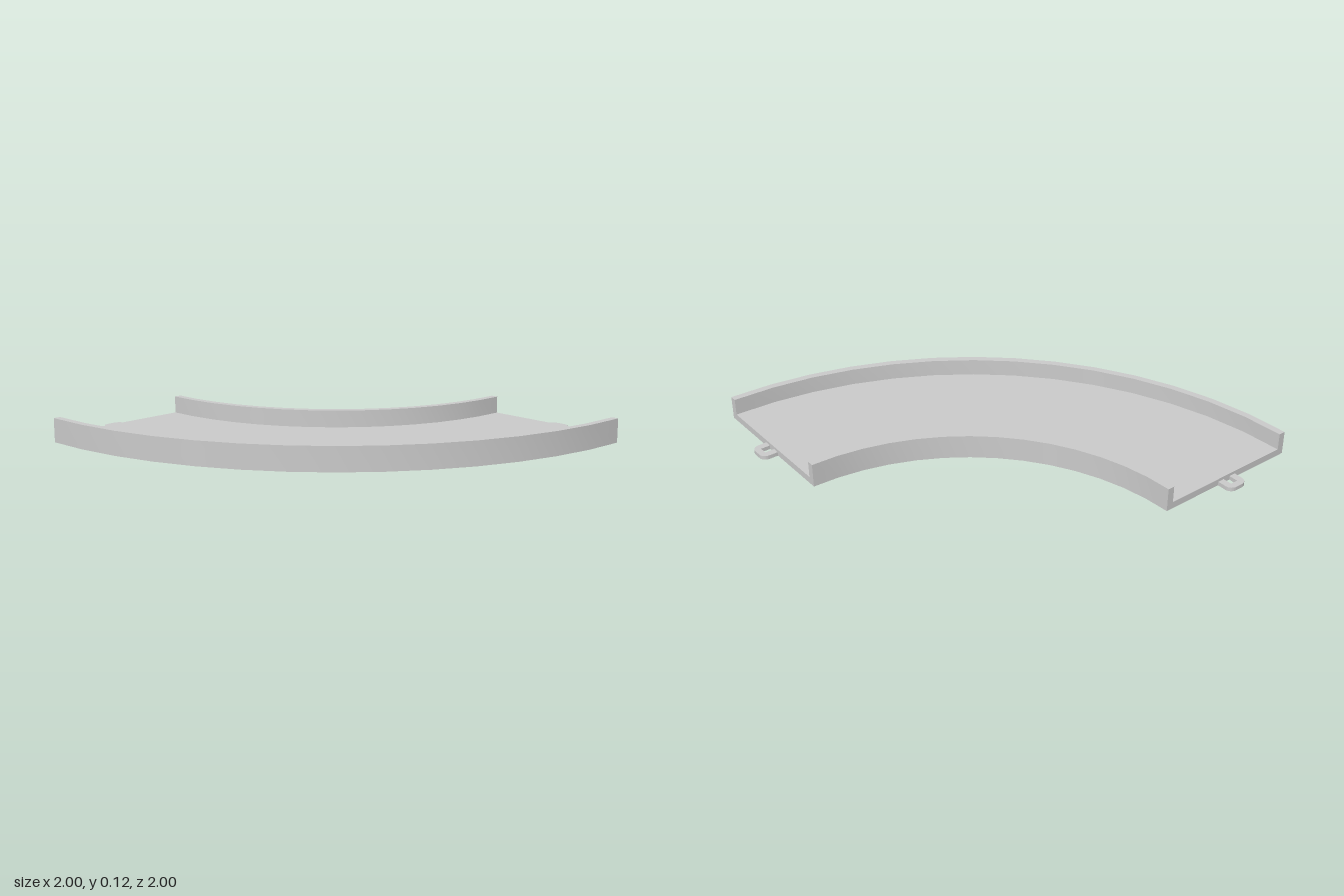
import * as THREE from 'three';
import { toCreasedNormals } from 'three/addons/utils/BufferGeometryUtils.js';

const CENTRE = -0.92;            // bend centre on both x and z
const INNER = 1.15, OUTER = 1.92;
const WALL = 0.035, FLOOR = 0.035, HEIGHT = 0.12;
const SEGMENTS = 14;

export function createModel() {
  const model = new THREE.Group();
  const material = new THREE.MeshStandardMaterial({ color: 0xcccccc });

  const add = (name, geometry, parent = model) => {
    const mesh = new THREE.Mesh(geometry, material);
    mesh.name = name;
    parent.add(mesh);
    return mesh;
  };

  // U-shaped channel section as (radius, height), counter-clockwise
  const section = [
    [INNER, 0], [OUTER, 0], [OUTER, HEIGHT], [OUTER - WALL, HEIGHT],
    [OUTER - WALL, FLOOR], [INNER + WALL, FLOOR], [INNER + WALL, HEIGHT], [INNER, HEIGHT],
  ].map(([r, y]) => new THREE.Vector2(r, y));

  // Curved track: the section swept through a quarter turn
  const track = new THREE.Group();
  track.name = 'curvedTrack';
  track.position.set(CENTRE, 0, CENTRE);
  model.add(track);
  const sweep = new THREE.LatheGeometry([...section, section[0].clone()], SEGMENTS, 0, Math.PI / 2);
  add('channel', toCreasedNormals(sweep, Math.PI / 6), track);

  // Flat end faces
  const leftEnd = new THREE.ShapeGeometry(new THREE.Shape(section));
  add('rightEndFace', leftEnd.rotateY(-Math.PI / 2), track);
  const mirrored = section.map((p) => new THREE.Vector2(-p.x, p.y)).reverse();
  const backEnd = new THREE.ShapeGeometry(new THREE.Shape(mirrored));
  add('backEndFace', backEnd.rotateY(Math.PI), track);

  // Connector loop: flat U with rounded outer corners, pointing along shape +y
  const w = 0.055, hole = 0.02, reach = 0.08, r = 0.035;
  const loop = new THREE.Shape();
  loop.moveTo(hole, 0);
  loop.lineTo(w, 0);
  loop.lineTo(w, reach - r);
  loop.absarc(w - r, reach - r, r, 0, Math.PI / 2, false);
  loop.absarc(r - w, reach - r, r, Math.PI / 2, Math.PI, false);
  loop.lineTo(-w, 0);
  loop.lineTo(-hole, 0);
  loop.lineTo(-hole, reach - 0.032);
  loop.lineTo(hole, reach - 0.032);
  loop.closePath();
  const loopGeometry = toCreasedNormals(
    new THREE.ExtrudeGeometry(loop, { depth: 0.02, bevelEnabled: false, curveSegments: 6 })
      .rotateX(-Math.PI / 2),
    Math.PI / 6,
  );

  const middle = CENTRE + (INNER + OUTER) / 2;
  add('backConnectorLoop', loopGeometry).position.set(middle, 0, CENTRE);
  const side = add('rightConnectorLoop', loopGeometry);
  side.position.set(CENTRE, 0, middle);
  side.rotation.y = Math.PI / 2;

  return model;
}
